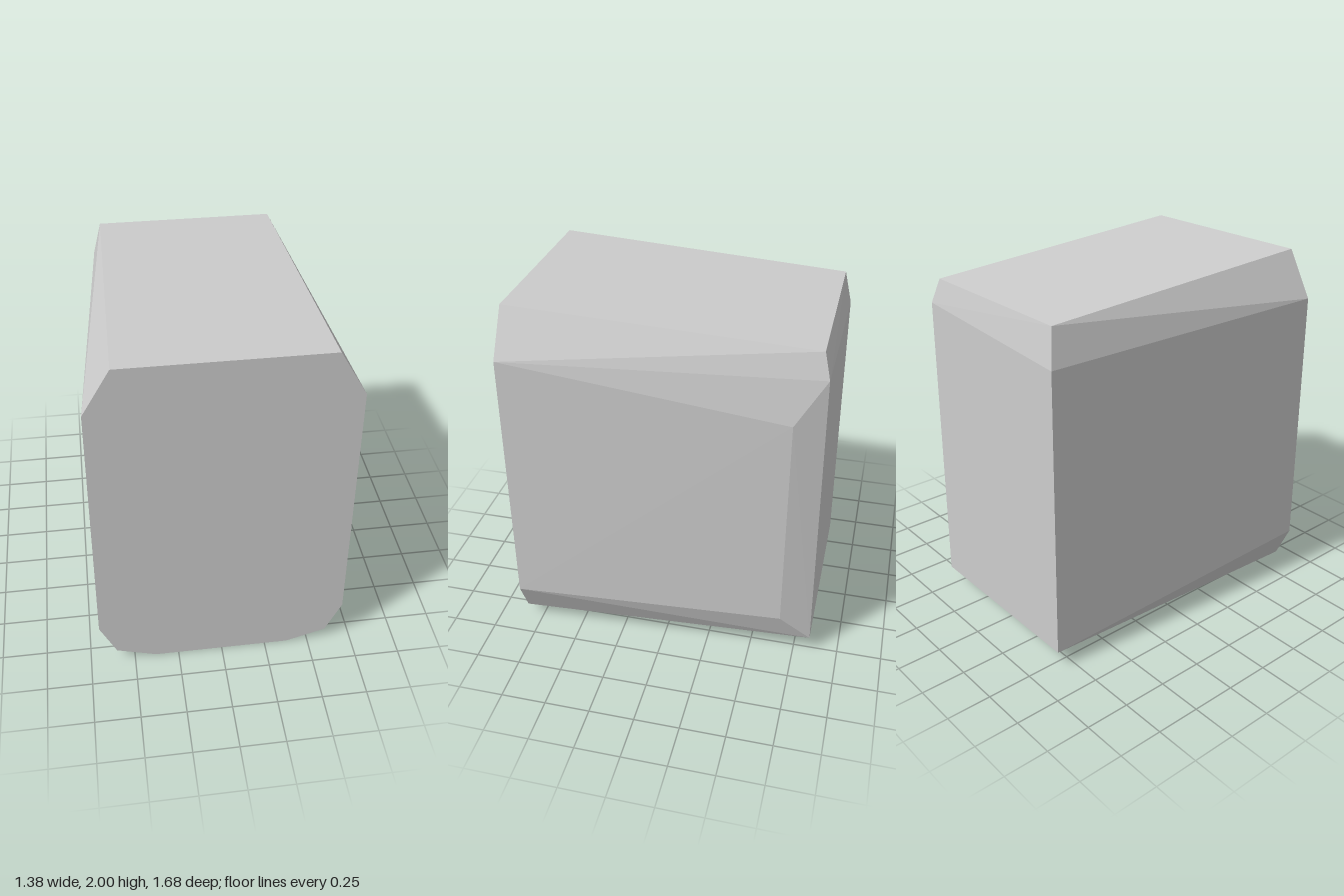
import * as THREE from 'three';
import { ConvexGeometry } from 'three/addons/geometries/ConvexGeometry.js';

export function createModel() {
  const group = new THREE.Group();
  group.name = 'chamferedBlock';
  const grey = new THREE.MeshStandardMaterial({ color: 0xcccccc });
  grey.name = 'plain grey';

  const points = [];
  const add = (x, y, z) => points.push(new THREE.Vector3(x, y, z));

  // Flat front outline, mirrored left and right
  const outline = [[0.53, 2], [0.675, 1.75], [0.69, 0.265], [0.6, 0.07], [0.38, 0]];
  for (const [x, y] of outline) for (const side of [1, -1]) add(side * x, y, 0.84);

  // Narrower back: sloped top edge, upper bevel, lower corners and underside
  add(0.49, 1.91, -0.79);
  add(-0.5, 1.91, -0.79);
  add(0.53, 1.775, -0.825);
  add(-0.545, 1.71, -0.83);
  add(0.53, 0.1, -0.84);
  add(-0.545, 0.1, -0.84);
  add(0.36, 0.025, -0.67);
  add(-0.41, 0.025, -0.67);

  // Bevelled back corner on the left flank
  add(0.59, 1.53, -0.67);
  add(0.59, 0.265, -0.67);

  const body = new THREE.Mesh(new ConvexGeometry(points), grey);
  body.name = 'body';
  group.add(body);
  return group;
}
